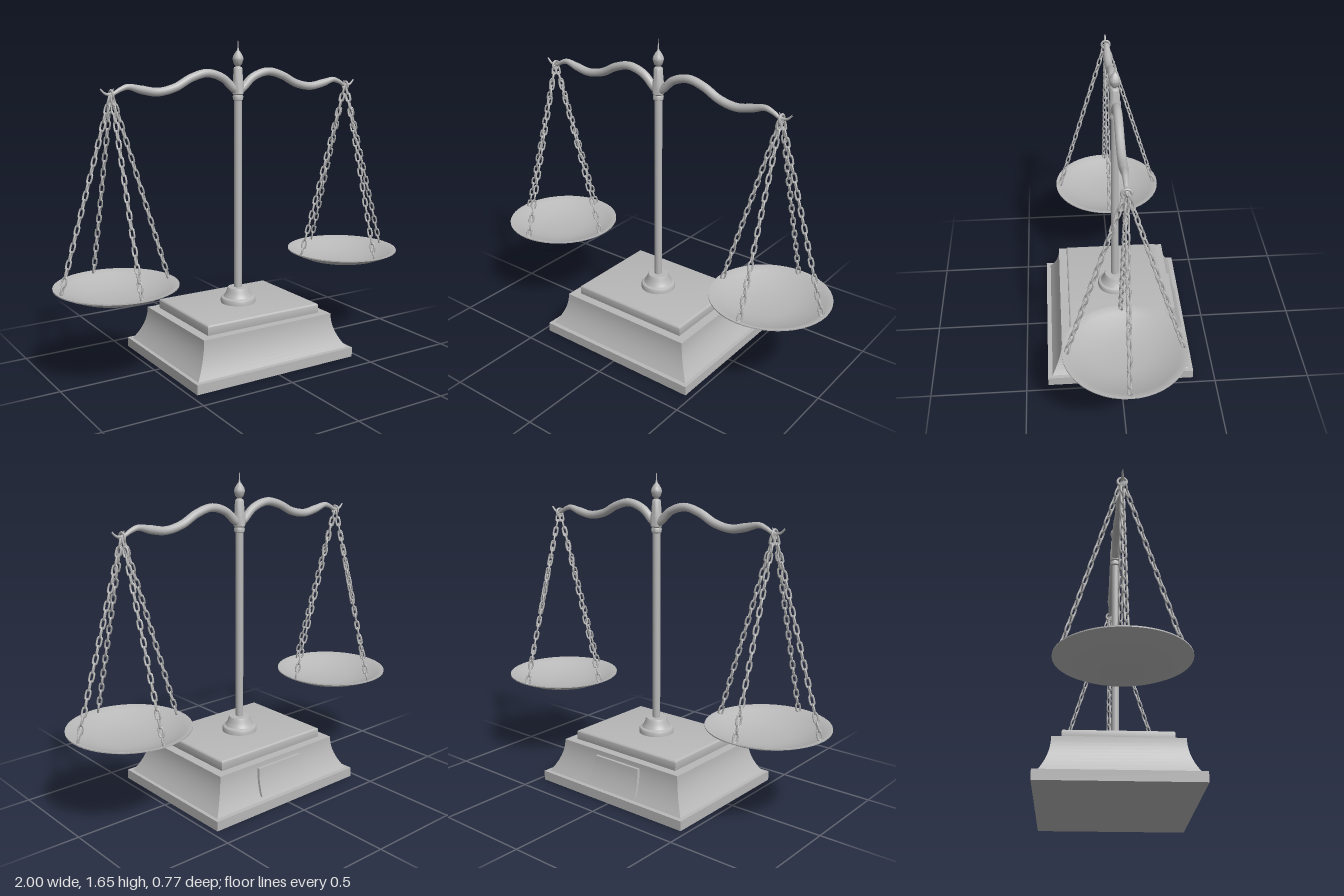
import * as THREE from 'three';
import { mergeGeometries, mergeVertices, toCreasedNormals } from 'three/addons/utils/BufferGeometryUtils.js';

const metal = new THREE.MeshStandardMaterial({ color: 0xb8b8b8 });
metal.name = 'greyMetal';

const PAN_X = 0.695;   // distance of each pan from the column
const HOOK_Y = 1.395;  // height the chains hang from

function add(parent, name, geometry, x = 0, y = 0, z = 0) {
  const mesh = new THREE.Mesh(geometry, metal);
  mesh.name = name;
  mesh.position.set(x, y, z);
  parent.add(mesh);
  return mesh;
}

// Lathe with sharp edges kept where the profile turns abruptly
function turned(points, segments = 32) {
  const g = new THREE.LatheGeometry(points.map(([r, y]) => new THREE.Vector2(r, y)), segments);
  return toCreasedNormals(g, 0.6);
}

// Concave flare of the plinth: amount added to the half-width at height y
const flare = (y) => Math.pow(THREE.MathUtils.clamp((0.23 - y) / 0.18, 0, 1), 2);

// Tapered tube along a curve; radiusAt gives the radius at 0..1
function taperedTube(curve, steps, sides, radiusAt) {
  const g = new THREE.TubeGeometry(curve, steps, 1, sides);
  const p = g.attributes.position, c = new THREE.Vector3(), v = new THREE.Vector3();
  for (let i = 0; i < p.count; i++) {
    const t = Math.floor(i / (sides + 1)) / steps;
    curve.getPointAt(t, c);
    v.fromBufferAttribute(p, i).sub(c).multiplyScalar(radiusAt(t)).add(c);
    p.setXYZ(i, v.x, v.y, v.z);
  }
  return g;
}

// Oval chain link standing along y
function linkGeometry(halfStraight) {
  const g = new THREE.TorusGeometry(0.0105, 0.0048, 6, 14);
  const p = g.attributes.position;
  for (let i = 0; i < p.count; i++) {
    const y = p.getY(i);
    p.setY(i, y + THREE.MathUtils.clamp(y / 0.004, -1, 1) * halfStraight);
  }
  return g;
}

// Chain of alternating links between two points
function chainGeometry(from, to) {
  const count = 23, dir = to.clone().sub(from);
  const tilt = new THREE.Quaternion().setFromUnitVectors(new THREE.Vector3(0, 1, 0), dir.clone().normalize().negate());
  const one = new THREE.Vector3(1, 1, 1), links = [];
  for (let i = 0; i < count; i++) {
    const twist = new THREE.Quaternion().setFromAxisAngle(new THREE.Vector3(0, 1, 0), Math.PI / 4 + (i % 2) * Math.PI / 2);
    const at = from.clone().addScaledVector(dir, (i + 0.5) / count);
    links.push(linkGeometry(0.0125).applyMatrix4(new THREE.Matrix4().compose(at, tilt.clone().multiply(twist), one)));
  }
  return mergeGeometries(links);
}

function buildBase() {
  const base = new THREE.Group();
  base.name = 'base';
  add(base, 'bottomSlab', new THREE.BoxGeometry(0.936, 0.05, 0.77), 0, 0.025, 0);

  // Plinth with concave sides
  let plinth = new THREE.BoxGeometry(2, 0.18, 2, 1, 10, 1);
  plinth.translate(0, 0.14, 0);
  const p = plinth.attributes.position;
  for (let i = 0; i < p.count; i++) {
    const f = flare(p.getY(i));
    p.setX(i, p.getX(i) * (0.383 + 0.065 * f));
    p.setZ(i, p.getZ(i) * (0.305 + 0.056 * f));
  }
  add(base, 'plinth', toCreasedNormals(plinth, 0.6));

  // Upper slab with a softened top edge
  const s = new THREE.Shape([[-0.325, -0.25], [0.325, -0.25], [0.325, 0.25], [-0.325, 0.25]].map(([x, y]) => new THREE.Vector2(x, y)));
  const slab = new THREE.ExtrudeGeometry(s, { depth: 0.04, bevelEnabled: true, bevelSize: 0.01, bevelThickness: 0.01, bevelSegments: 3 });
  slab.rotateX(-Math.PI / 2);
  add(base, 'upperSlab', toCreasedNormals(slab, 0.6), 0, 0.23, 0);

  // Blank plate bent to follow the back of the plinth
  const plate = new THREE.BoxGeometry(0.32, 0.135, 0.024, 1, 8, 1);
  plate.translate(0, 0.1375, 0);
  const q = plate.attributes.position;
  for (let i = 0; i < q.count; i++) {
    const y = q.getY(i);
    q.setX(i, q.getX(i) * (1 - 0.11 * (y - 0.07) / 0.135));
    q.setZ(i, q.getZ(i) - (0.308 + 0.056 * flare(y)));
  }
  add(base, 'backPlate', toCreasedNormals(plate, 0.6));
  return base;
}

function buildColumn() {
  const column = new THREE.Group();
  column.name = 'column';
  add(column, 'foot', turned([[0.092, 0.275], [0.092, 0.298], [0.088, 0.306], [0.076, 0.311], [0.069, 0.322], [0.061, 0.338],
    [0.057, 0.352], [0.053, 0.36], [0, 0.362]]));
  add(column, 'pole', new THREE.CylinderGeometry(0.02, 0.02, 1.02, 24), 0, 0.85, 0);
  add(column, 'hub', turned([[0.02, 1.342], [0.026, 1.346], [0.027, 1.362], [0.023, 1.37], [0.029, 1.376], [0.03, 1.43],
    [0.025, 1.445], [0.023, 1.5], [0.019, 1.508], [0.012, 1.512], [0, 1.512]], 24));
  add(column, 'finial', turned([[0.012, 1.505], [0.011, 1.515], [0.021, 1.525], [0.028, 1.55], [0.024, 1.565], [0.014, 1.582],
    [0.006, 1.592], [0.004, 1.6], [0.0005, 1.65]], 20));
  return column;
}

function buildArm(side) {
  const arm = new THREE.Group();
  arm.name = side > 0 ? 'leftArm' : 'rightArm';
  const path = (pts) => new THREE.CatmullRomCurve3(pts.map(([x, y]) => new THREE.Vector3(side * x, y, 0)));

  // Serpentine beam, thinning into an upturned tip
  const beam = path([[0, 1.385], [0.03, 1.405], [0.09, 1.457], [0.18, 1.483], [0.27, 1.462], [0.36, 1.418], [0.455, 1.4],
    [0.54, 1.414], [0.61, 1.43], [0.65, 1.418], [0.69, 1.398], [0.725, 1.402], [0.75, 1.425]]);
  const radius = (t) => t < 0.72 ? 0.021 : THREE.MathUtils.lerp(0.021, 0.004, Math.pow((t - 0.72) / 0.28, 0.8));
  add(arm, 'beam', taperedTube(beam, 72, 12, radius));
  const horn = path([[0.705, 1.39], [0.69, 1.408], [0.682, 1.425]]);
  add(arm, 'hookHorn', taperedTube(horn, 8, 8, (t) => 0.009 - 0.007 * t));
  const ring = add(arm, 'hangingRing', new THREE.TorusGeometry(0.022, 0.006, 8, 20), side * PAN_X, HOOK_Y, 0);
  ring.rotation.y = Math.PI / 2;
  return arm;
}

function buildPan(side) {
  const pan = new THREE.Group();
  pan.name = side > 0 ? 'leftPan' : 'rightPan';
  pan.position.x = side * PAN_X;

  // Shallow dish: outside from the centre up to the rim, then back inside
  const profile = [[0, 0.408], [0.1, 0.409], [0.16, 0.419], [0.22, 0.436], [0.27, 0.457], [0.305, 0.474], [0.305, 0.48],
    [0.298, 0.48], [0.265, 0.465], [0.215, 0.444], [0.155, 0.427], [0.1, 0.418], [0, 0.416]];
  add(pan, 'dish', turned(profile, 48));

  // Four chains to the rim
  for (let i = 0; i < 4; i++) {
    const a = i * Math.PI / 2;
    const dir = new THREE.Vector3(Math.cos(a), 0, Math.sin(a));
    const top = dir.clone().multiplyScalar(0.006).setY(HOOK_Y - 0.005);
    const bottom = dir.clone().multiplyScalar(0.282).setY(0.475);
    add(pan, 'chain' + (i + 1), chainGeometry(top, bottom));
  }
  return pan;
}

export function createModel() {
  const model = new THREE.Group();
  model.name = 'balanceScale';
  model.add(buildBase(), buildColumn());
  for (const side of [1, -1]) model.add(buildArm(side), buildPan(side));
  return model;
}
